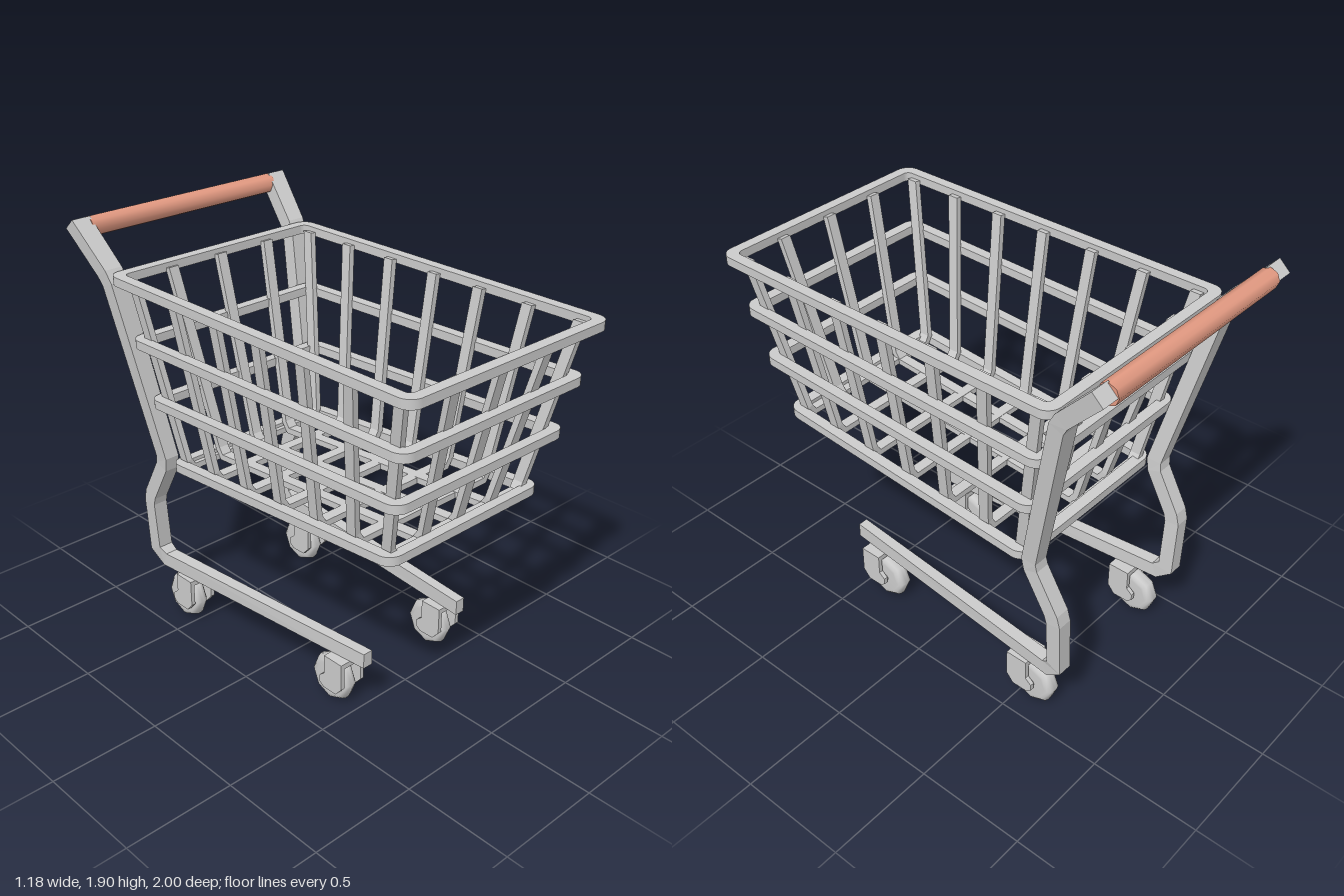
import * as THREE from 'three';
import { toCreasedNormals } from 'three/addons/utils/BufferGeometryUtils.js';

const metal = new THREE.MeshStandardMaterial({ color: 0xcccccc });
const grip = new THREE.MeshStandardMaterial({ color: 0xe39a82 });
const X = new THREE.Vector3(1, 0, 0);
const Z = new THREE.Vector3(0, 0, 1);
const lerp = THREE.MathUtils.lerp;

function add(parent, name, geometry, material = metal) {
  const mesh = new THREE.Mesh(geometry, material);
  mesh.name = name;
  parent.add(mesh);
  return mesh;
}

// Mitred rectangular bar along points; widths are measured along the side axis
function bar(points, side, widths, thickness) {
  const p = points.map((q) => new THREE.Vector3(...q));
  const last = p.length - 1;
  const dir = (i) => p[i + 1].clone().sub(p[i]).normalize();
  const sections = p.map((c, i) => {
    const d = dir(Math.min(i, last - 1));
    const t = dir(Math.max(i - 1, 0)).add(d).normalize();
    const n = t.clone().cross(side).normalize().multiplyScalar(thickness / 2 / t.dot(d));
    const w = Array.isArray(widths) ? widths[i] : widths;
    return [[1, 1], [-1, 1], [-1, -1], [1, -1]].map(([a, b]) =>
      c.clone().addScaledVector(side, a * w / 2).addScaledVector(n, b));
  });
  const out = [];
  const quad = (a, b, c, d) => [a, b, c, a, c, d].forEach((v) => out.push(v.x, v.y, v.z));
  for (let i = 0; i < last; i++) {
    for (let k = 0; k < 4; k++) {
      const m = (k + 1) % 4;
      quad(sections[i][k], sections[i][m], sections[i + 1][m], sections[i + 1][k]);
    }
  }
  const [s, e] = [sections[0], sections[last]];
  quad(s[0], s[3], s[2], s[1]);
  quad(e[0], e[1], e[2], e[3]);
  const g = new THREE.BufferGeometry();
  g.setAttribute('position', new THREE.Float32BufferAttribute(out, 3));
  g.computeVertexNormals();
  return g;
}

function roundedRect(target, w, z0, z1, r) {
  target.absarc(w - r, z1 - r, r, 0, Math.PI / 2);
  target.absarc(-w + r, z1 - r, r, Math.PI / 2, Math.PI);
  target.absarc(-w + r, z0 + r, r, Math.PI, Math.PI * 1.5);
  target.absarc(w - r, z0 + r, r, Math.PI * 1.5, Math.PI * 2);
  target.closePath();
  return target;
}

// Rounded rectangular hoop, sheared so its front and back sit at different heights
function ring({ w, front, back, yFront, yBack }) {
  const shape = roundedRect(new THREE.Shape(), w, back, front, 0.06);
  shape.holes.push(roundedRect(new THREE.Path(), w - 0.05, back + 0.05, front - 0.05, 0.025));
  const g = new THREE.ExtrudeGeometry(shape, { depth: 0.04, bevelEnabled: false, curveSegments: 4 });
  g.rotateX(Math.PI / 2);
  const pos = g.attributes.position;
  for (let i = 0; i < pos.count; i++) {
    const t = (pos.getZ(i) - back) / (front - back);
    pos.setY(i, pos.getY(i) + 0.02 + lerp(yBack, yFront, t));
  }
  return toCreasedNormals(g, 0.6);
}

function makeBasket() {
  const basket = new THREE.Group();
  basket.name = 'basket';
  [
    { w: 0.562, front: 1.0, back: -0.755, yFront: 1.68, yBack: 1.68 },
    { w: 0.523, front: 0.94, back: -0.68, yFront: 1.44, yBack: 1.405 },
    { w: 0.492, front: 0.885, back: -0.615, yFront: 1.2, yBack: 1.135 },
    { w: 0.445, front: 0.815, back: -0.55, yFront: 0.93, yBack: 0.83 },
  ].forEach((r) => add(basket, 'basketRing', ring(r)));

  const floorY = (z) => 0.82 + (z + 0.55) * 0.0733;

  // U-shaped bars running side to side: [top z, bottom z]
  [[0.9, 0.75], [0.645, 0.56], [0.385, 0.345], [0.13, 0.125],
    [-0.13, -0.09], [-0.395, -0.31], [-0.655, -0.505]].forEach(([zt, zb]) => {
    const y = floorY(zb);
    const half = [[0.498, 1.68, zt], [0.39, y + 0.04, zb], [0.365, y, zb]];
    const other = half.map(([x, py, z]) => [-x, py, z]).reverse();
    add(basket, 'crossBar', bar([...half, ...other], Z, 0.05, 0.028));
  });

  // U-shaped bars running front to back
  for (const i of [-1, 0, 1]) {
    const xt = 0.268 * i;
    const xb = 0.2 * i;
    add(basket, 'lengthBar', bar([
      [xt, 1.68, 0.937], [xb, floorY(0.76) + 0.04, 0.757], [xb, floorY(0.73), 0.73],
      [xb, floorY(-0.46), -0.46], [xb, floorY(-0.485) + 0.04, -0.487], [xt, 1.68, -0.697],
    ], X, 0.05, 0.028));
  }
  return basket;
}

function makeWheel() {
  const profile = [[0, -0.037], [0.075, -0.037], [0.09, -0.036], [0.104, -0.025], [0.11, -0.008],
    [0.11, 0.008], [0.104, 0.025], [0.09, 0.036], [0.075, 0.037], [0, 0.037]];
  const g = new THREE.LatheGeometry(profile.map(([x, y]) => new THREE.Vector2(x, y)), 8);
  return toCreasedNormals(g.rotateZ(Math.PI / 2), 0.9);
}

// Swivel fork with wheel; the origin is on the ground below the axle
function makeCaster(x, z) {
  const caster = new THREE.Group();
  caster.name = 'caster';
  const plate = new THREE.Shape([[0.11, 0.245], [0.11, 0.12], [0.075, 0.08], [0, 0.08], [-0.025, 0.1],
    [-0.025, 0.13], [0.005, 0.155], [0.005, 0.245]].map(([a, b]) => new THREE.Vector2(a, b)));
  for (const s of [-1, 1]) {
    const g = new THREE.ExtrudeGeometry(plate, { depth: 0.02, bevelEnabled: false });
    g.rotateY(-Math.PI / 2).translate(s * 0.057 + 0.01, 0, 0);
    add(caster, 'forkPlate', g);
  }
  add(caster, 'forkTop', new THREE.BoxGeometry(0.134, 0.025, 0.105)).position.set(0, 0.2335, 0.0575);
  const axle = new THREE.CylinderGeometry(0.02, 0.02, 0.134, 8).rotateZ(Math.PI / 2);
  add(caster, 'axle', toCreasedNormals(axle, 0.9)).position.y = 0.11;
  add(caster, 'wheel', makeWheel()).position.y = 0.11;
  caster.position.set(x, 0, z);
  return caster;
}

export function createModel() {
  const cart = new THREE.Group();
  cart.name = 'shoppingCart';
  cart.add(makeBasket());

  // Side frames: [x, y, z, width], from handle down to the front foot
  const path = [
    [0.547, 1.875, -0.97, 0.09], [0.518, 1.69, -0.8, 0.086], [0.512, 1.645, -0.775, 0.085],
    [0.428, 0.86, -0.594, 0.07], [0.424, 0.81, -0.602, 0.07], [0.42, 0.625, -0.708, 0.07],
    [0.419, 0.58, -0.72, 0.07], [0.404, 0.325, -0.72, 0.07], [0.397, 0.28, -0.665, 0.06],
    [0.288, 0.28, 0.55, 0.048],
  ];
  for (const s of [-1, 1]) {
    const points = path.map(([x, y, z]) => [s * x, y, z]);
    add(cart, s > 0 ? 'leftFrame' : 'rightFrame', bar(points, X, path.map((q) => q[3]), 0.07));
    cart.add(makeCaster(s * 0.303, 0.365), makeCaster(s * 0.367, -0.575));
  }

  // Push handle
  const handle = new THREE.CylinderGeometry(0.046, 0.046, 1.02, 8).rotateZ(Math.PI / 2);
  add(cart, 'handle', toCreasedNormals(handle, 0.9), grip).position.set(0, 1.85, -0.954);
  return cart;
}
